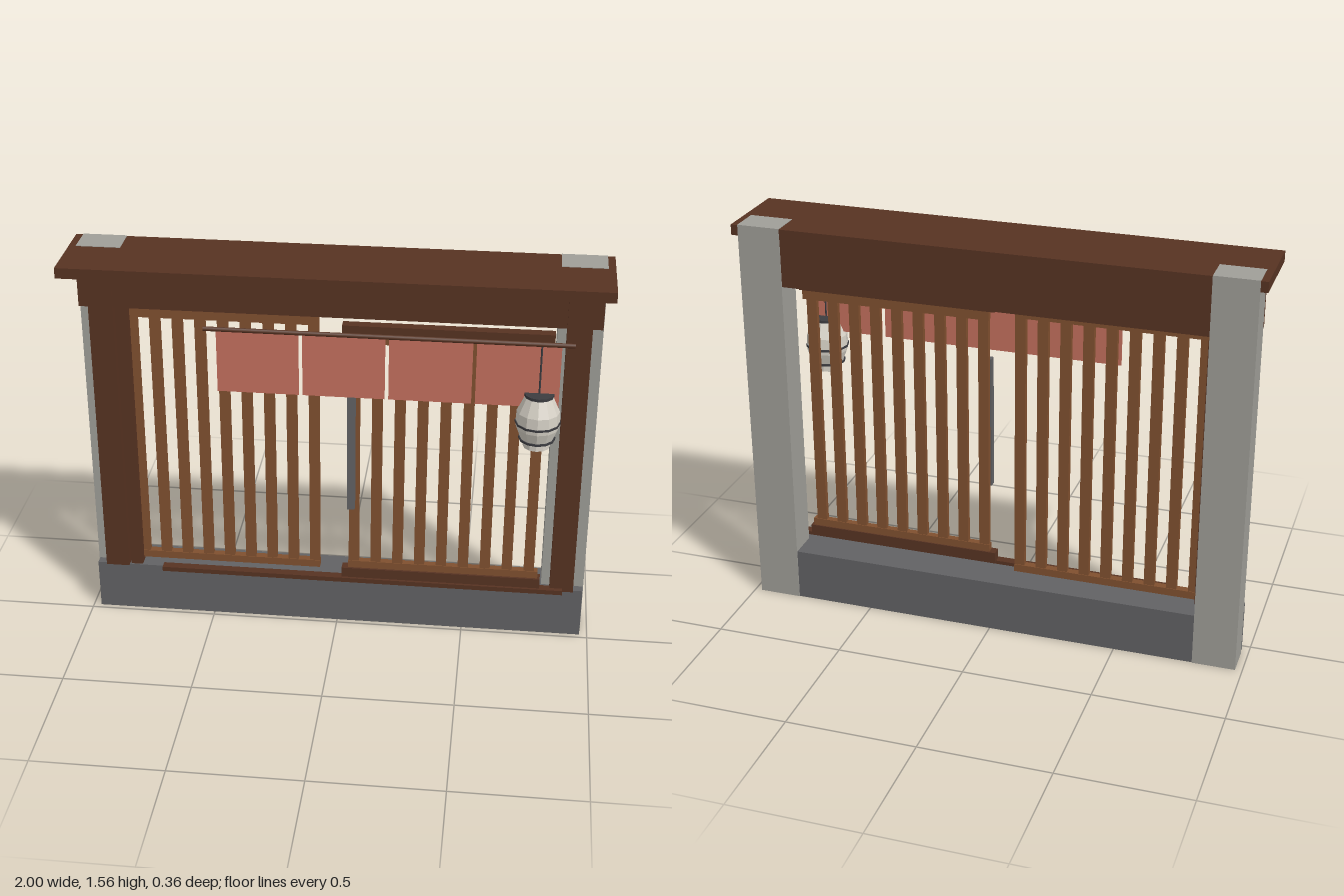
import * as THREE from 'three';

export function createModel() {
  const root = new THREE.Group();
  const mat = (name, color, extra = {}) => {
    const m = new THREE.MeshStandardMaterial({ color, ...extra });
    m.name = name;
    return m;
  };
  const darkWood = mat('dark wood', 0x573322);
  const lightWood = mat('light wood', 0x80502f);
  const stone = mat('dark stone', 0x626264);
  const plaster = mat('plaster', 0x9f9e98);
  const cloth = mat('red cloth', 0xc4705e, { side: THREE.DoubleSide });
  const paper = mat('lantern paper', 0xd6d1c6, { flatShading: true });
  const iron = mat('dark iron', 0x3c3c40);

  // box given by its limits on each axis
  const box = (name, m, x0, x1, y0, y1, z0, z1, parent = root) => {
    const mesh = new THREE.Mesh(new THREE.BoxGeometry(x1 - x0, y1 - y0, z1 - z0), m);
    mesh.position.set((x0 + x1) / 2, (y0 + y1) / 2, (z0 + z1) / 2);
    mesh.name = name;
    parent.add(mesh);
    return mesh;
  };

  // wall frame
  box('stoneBase', stone, -0.97, 0.97, 0, 0.205, -0.173, -0.02);
  box('lintel', darkWood, -0.97, 0.97, 1.33, 1.515, -0.173, -0.02);
  box('eave', darkWood, -1, 1, 1.515, 1.555, -0.175, 0.16);
  for (const s of [-1, 1]) {
    const outer = 0.973 * s, inner = 0.807 * s;
    box('wallPillar', plaster, Math.min(outer, inner), Math.max(outer, inner), 0, 1.557, -0.176, -0.055);
    box('frontPost', darkWood, s * 0.886 - 0.046, s * 0.886 + 0.046, 0.205, 1.515, -0.055, -0.008);
  }
  box('doorJamb', darkWood, -0.834, -0.788, 0.205, 1.33, -0.085, -0.025);
  box('floorTrack', darkWood, -0.7, 0.89, 0.2, 0.219, -0.025, 0.01);

  // sliding lattice screens
  const screen = (name, x0, x1, firstBar, y0, y1, z0, z1) => {
    const g = new THREE.Group();
    g.name = name;
    root.add(g);
    box('bottomRail', lightWood, x0, x1, y0, y0 + 0.03, z0, z1, g);
    box('topRail', lightWood, x0, x1, y1 - 0.04, y1, z0, z1, g);
    for (let i = 0; i < 9; i++) {
      const x = firstBar + i * 0.086;
      box('latticeBar', lightWood, x - 0.02, x + 0.02, y0 + 0.03, y1 - 0.04, z0 + 0.003, z1 - 0.003, g);
    }
    return g;
  };
  const rear = screen('rearScreen', -0.805, -0.073, -0.781, 0.222, 1.32, -0.085, -0.055);
  box('topTrack', darkWood, -0.79, -0.045, 1.318, 1.33, -0.09, -0.05, rear);
  const front = screen('frontScreen', 0.045, 0.79, 0.067, 0.26, 1.275, -0.035, -0.008);
  box('topTrack', darkWood, 0.02, 0.8, 1.272, 1.31, -0.04, 0, front);
  box('bottomTrack', darkWood, 0.02, 0.8, 0.218, 0.26, -0.04, 0, front);
  box('signBoard', stone, 0.042, 0.072, 0.54, 1.07, -0.008, 0.018);

  // curtain on its rod
  const cz = 0.095;
  const rod = new THREE.Mesh(new THREE.CylinderGeometry(0.009, 0.009, 1.35, 8), darkWood);
  rod.rotation.z = Math.PI / 2;
  rod.position.set(0.195, 1.315, cz);
  rod.name = 'curtainRod';
  root.add(rod);
  for (let i = 0; i < 4; i++) {
    const x = -0.433 + i * 0.3175;
    box('curtainPanel', cloth, x, x + 0.304, 1.065, 1.31, cz - 0.002, cz + 0.002);
  }

  // hanging lantern
  const lantern = new THREE.Group();
  lantern.name = 'lantern';
  lantern.position.set(0.752, 0, cz);
  root.add(lantern);
  const profile = [[0, 0.905], [0.05, 0.905], [0.05, 0.935], [0.062, 0.94], [0.079, 0.985],
    [0.081, 1.005], [0.079, 1.05], [0.052, 1.11], [0, 1.112]];
  const body = new THREE.Mesh(
    new THREE.LatheGeometry(profile.map(([r, y]) => new THREE.Vector2(r, y)), 12), paper);
  body.name = 'lanternBody';
  lantern.add(body);
  const disc = (name, r, y, h) => {
    const m = new THREE.Mesh(new THREE.CylinderGeometry(r, r, h, 12), iron);
    m.position.y = y;
    m.name = name;
    lantern.add(m);
  };
  disc('lanternCap', 0.055, 1.116, 0.011);
  disc('middleHoop', 0.084, 1.005, 0.008);
  disc('lowerHoop', 0.068, 0.939, 0.008);
  disc('lanternCord', 0.004, 1.215, 0.2);

  return root;
}
